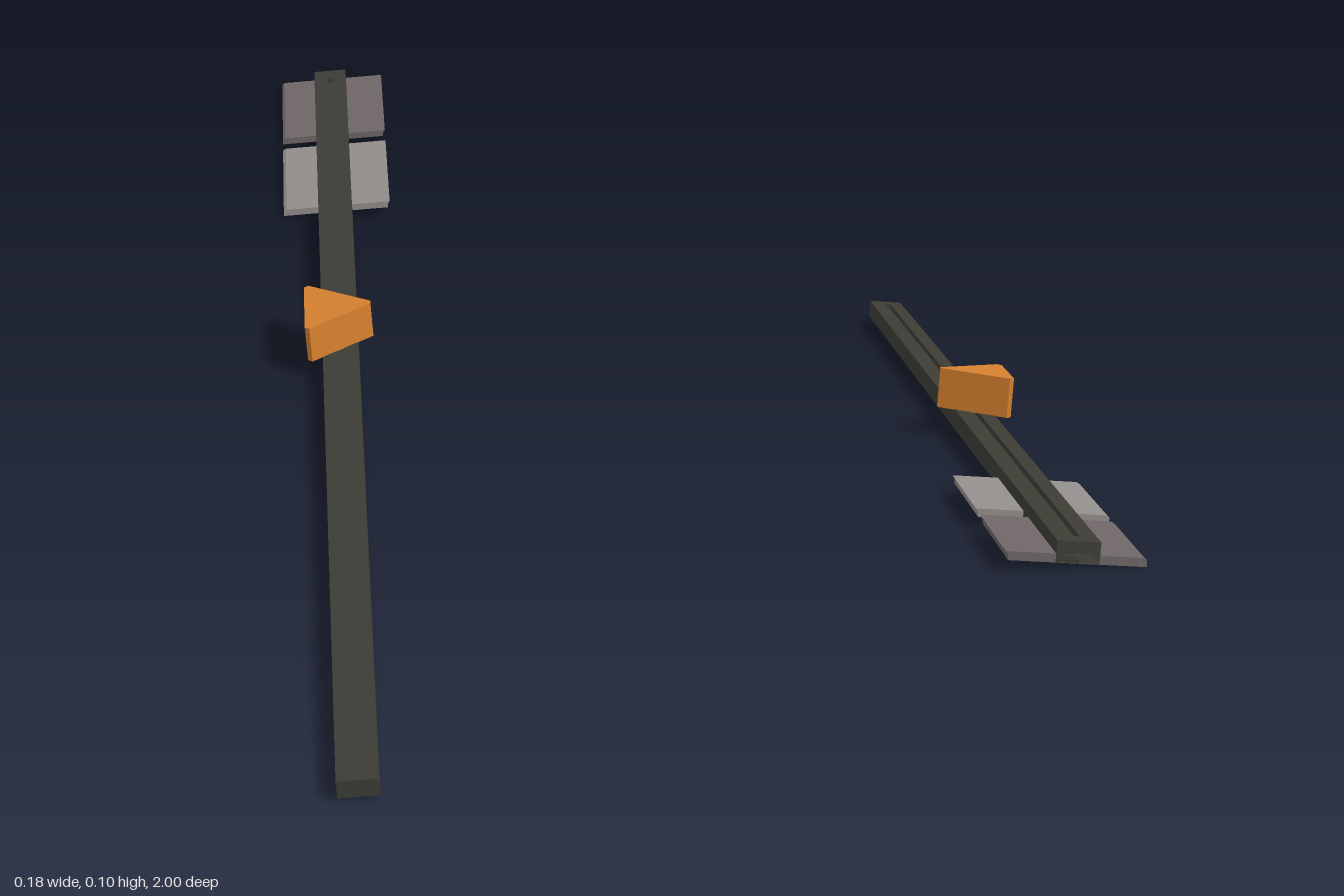
import * as THREE from 'three';

function material(name, color) {
  const m = new THREE.MeshStandardMaterial({ color });
  m.name = name;
  return m;
}

function polygon(points) {
  return new THREE.Shape(points.map(([x, y]) => new THREE.Vector2(x, y)));
}

function rectangle(halfW, halfL) {
  return [[-halfW, -halfL], [halfW, -halfL], [halfW, halfL], [-halfW, halfL]];
}

// Extrude a plan (x, -z) upwards
function upright(shape, height) {
  return new THREE.ExtrudeGeometry(shape, { depth: height, bevelEnabled: false }).rotateX(-Math.PI / 2);
}

export function createModel() {
  const charcoal = material('charcoal', 0x3c3d35);
  const orange = material('orange', 0xd4802f);
  const lightGrey = material('light grey', 0x928e8b);
  const darkGrey = material('dark grey', 0x6f6667);

  const model = new THREE.Group();
  model.name = 'railAssembly';
  const add = (name, geometry, mat, x, y, z, parent = model) => {
    const mesh = new THREE.Mesh(geometry, mat);
    mesh.name = name;
    mesh.position.set(x, y, z);
    parent.add(mesh);
  };

  // Everything leans slightly about the long axis
  const tilted = new THREE.Group();
  tilted.name = 'tiltedAssembly';
  tilted.rotation.z = 0.085;
  tilted.position.y = -0.001;
  model.add(tilted);

  // Long rail with a closed-end slot above and below a central web
  const railPlan = polygon(rectangle(0.028, 1));
  railPlan.holes.push(polygon(rectangle(0.006, 0.97).reverse()));
  add('rail', upright(railPlan, 0.028), charcoal, -0.001, 0.0095, 0, tilted);
  add('railWeb', new THREE.BoxGeometry(0.0124, 0.012, 1.942), charcoal, -0.001, 0.0235, 0, tilted);

  // Two cross plates at the back, with slanted ends
  const plateProfile = polygon([
    [-0.0895, 0.009], [0.087, 0.009], [0.088, 0.0165], [0.091, 0.0205], [-0.084, 0.0205], [-0.089, 0.0175],
  ]);
  for (const [name, mat, z, length] of [['innerPlate', lightGrey, -0.75, 0.217], ['outerPlate', darkGrey, -1, 0.212]]) {
    const plate = new THREE.ExtrudeGeometry(plateProfile, { depth: length, bevelEnabled: false });
    add(name, plate, mat, 0, 0, z, tilted);
  }

  // Triangular slider with clipped corners
  const sliderPlan = polygon([
    [-0.052, -0.06], [-0.045, -0.065], [0.0515, -0.004], [0.0515, 0.004], [-0.045, 0.065], [-0.052, 0.06],
  ]);
  add('slider', upright(sliderPlan, 0.06), orange, 0, 0.037, -0.084, tilted);

  return model;
}
